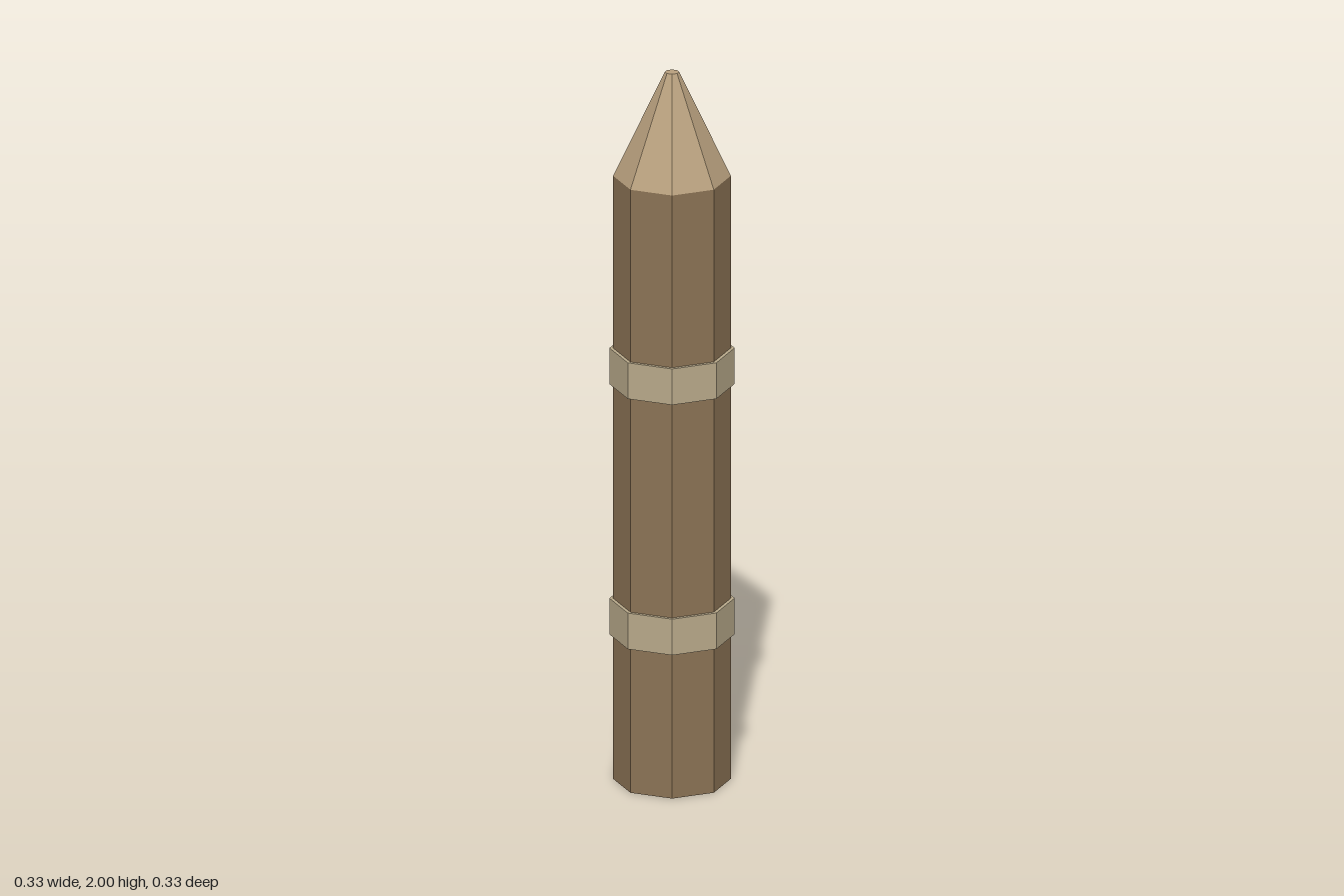
import * as THREE from 'three';

const SIDES = 8;

// Eight-sided flat-shaded section standing on height y0
function section(name, rTop, rBottom, y0, y1, color) {
  const geometry = new THREE.CylinderGeometry(rTop, rBottom, y1 - y0, SIDES);
  const material = new THREE.MeshStandardMaterial({ color, flatShading: true });
  const mesh = new THREE.Mesh(geometry, material);
  mesh.name = name;
  mesh.position.y = (y0 + y1) / 2;
  return mesh;
}

export function createModel() {
  const group = new THREE.Group();
  group.name = 'sharpenedStake';

  const bark = 0x8b7355, cutWood = 0xb8a07e, rope = 0xb8a98a;

  // Post and its sharpened point
  group.add(section('post', 0.157, 0.157, 0, 1.706, bark));
  group.add(section('point', 0.019, 0.157, 1.706, 2, cutWood));

  // Bands wrapped around the post
  [['lowerBand', 0.46], ['upperBand', 1.168]].forEach(([name, y]) => {
    group.add(section(name, 0.167, 0.167, y - 0.051, y + 0.051, rope));
  });

  return group;
}
